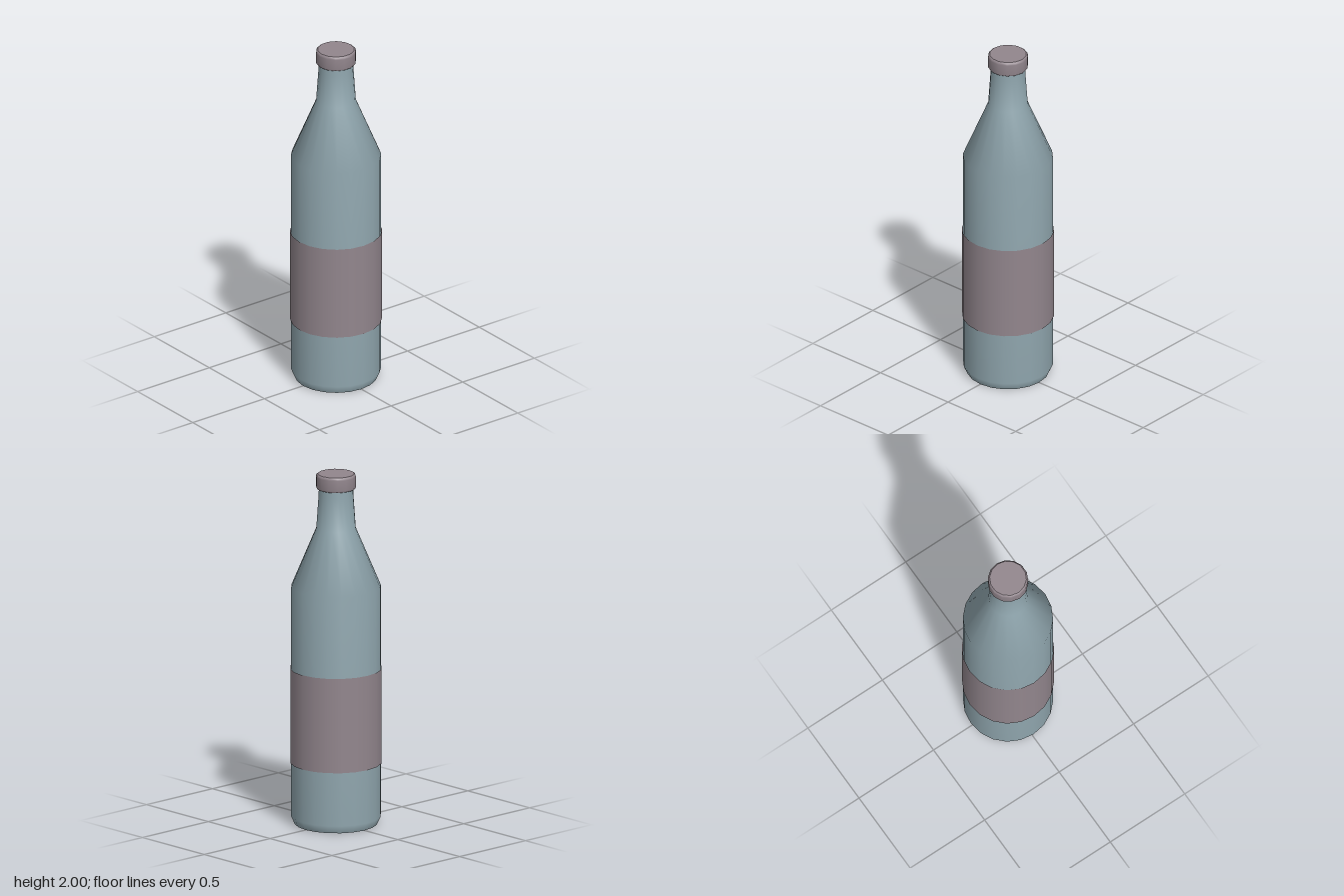
import * as THREE from 'three';

const glass = new THREE.MeshStandardMaterial({ color: 0x8fa5ad });
glass.name = 'blue grey glass';
const paper = new THREE.MeshStandardMaterial({ color: 0x92868d, side: THREE.DoubleSide });
paper.name = 'mauve grey';

function part(name, geometry, material) {
  const mesh = new THREE.Mesh(geometry, material);
  mesh.name = name;
  return mesh;
}

// Turned surface from [radius, height] pairs, bottom to top
function turned(name, profile, sides, material) {
  const points = profile.map(([r, y]) => new THREE.Vector2(r, y));
  return part(name, new THREE.LatheGeometry(points, sides), material);
}

// Flat disc closing an end, with its corners lined up with the turned sides
function disc(name, radius, y, sides, up, material) {
  const geometry = new THREE.CircleGeometry(radius, sides, Math.PI / 2);
  geometry.rotateX(up ? -Math.PI / 2 : Math.PI / 2);
  geometry.translate(0, y, 0);
  return part(name, geometry, material);
}

export function createModel() {
  const model = new THREE.Group();
  model.name = 'bottle';

  // Body, shoulder and neck
  model.add(turned('bottleBody', [
    [0.23, 0], [0.25, 0.045], [0.25, 1.355], [0.11, 1.69],
    [0.097, 1.88], [0.095, 1.94],
  ], 20, glass));
  model.add(disc('bottleBase', 0.23, 0, 20, false, glass));

  // Label wrapped round the body
  const label = new THREE.CylinderGeometry(0.255, 0.255, 0.54, 20, 1, true);
  label.translate(0, 0.62, 0);
  model.add(part('label', label, paper));

  // Cap with softened rims
  const cap = new THREE.Group();
  cap.name = 'cap';
  cap.add(turned('capSide', [
    [0.105, 1.915], [0.112, 1.925], [0.112, 1.985], [0.109, 1.995], [0.102, 2],
  ], 14, paper));
  cap.add(disc('capTop', 0.102, 2, 14, true, paper));
  cap.add(disc('capUnderside', 0.105, 1.915, 14, false, paper));
  model.add(cap);

  return model;
}
